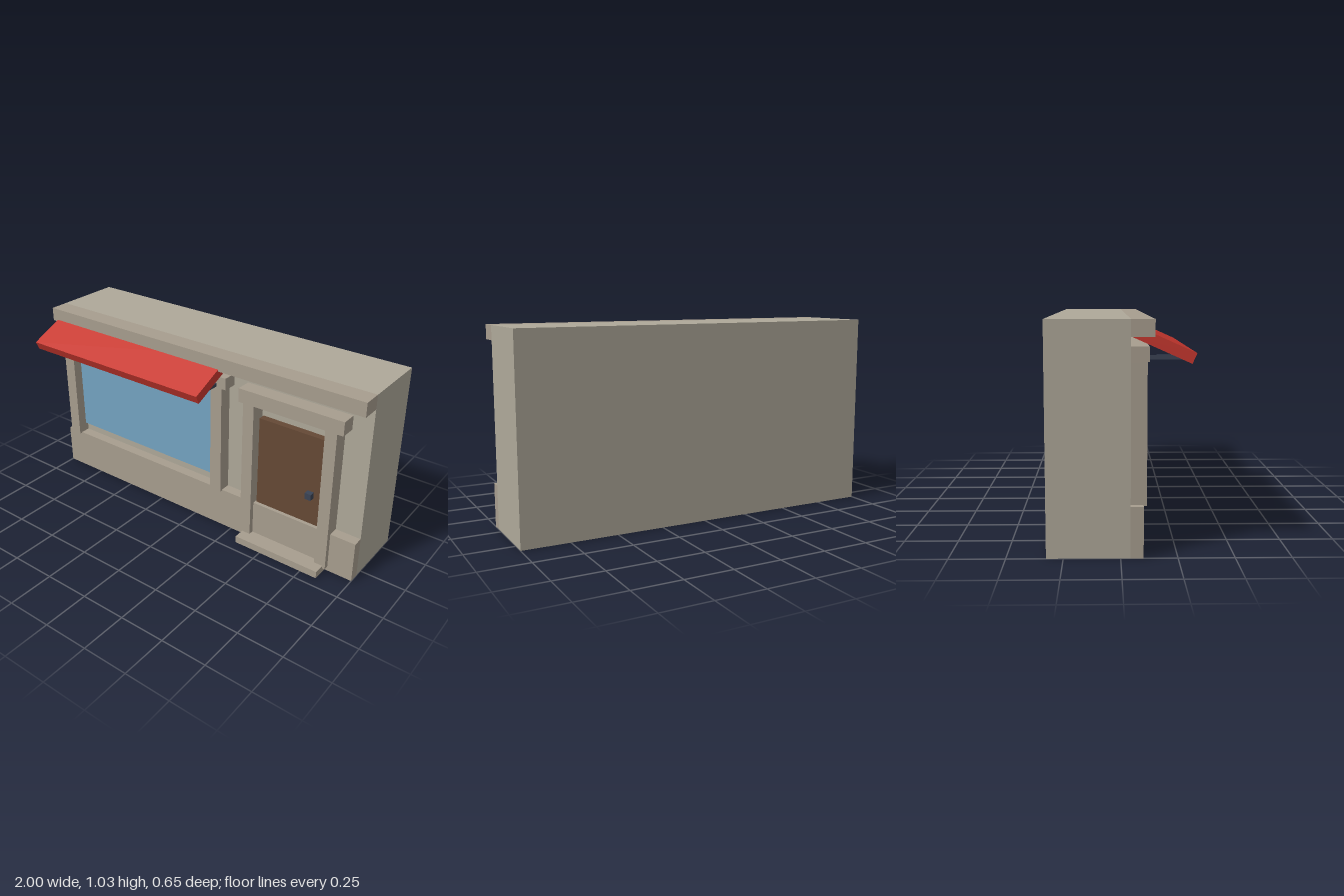
import * as THREE from 'three';

const material = (color) => new THREE.MeshStandardMaterial({ color });

export function createModel() {
  const shop = new THREE.Group();
  shop.name = 'shopfront';

  const wall = material(0xaea899);
  const trim = material(0xa79d8e);
  const red = material(0xc8372e);
  const glass = material(0x74a3c1);
  const wood = material(0x654935);
  const iron = material(0x3a4354);

  // Box given by its limits along each axis
  function block(name, mat, [x0, x1], [y0, y1], [z0, z1]) {
    const mesh = new THREE.Mesh(new THREE.BoxGeometry(x1 - x0, y1 - y0, z1 - z0), mat);
    mesh.position.set((x0 + x1) / 2, (y0 + y1) / 2, (z0 + z1) / 2);
    mesh.name = name;
    shop.add(mesh);
    return mesh;
  }

  const face = 0.043; // front plane of the main wall

  // Building body with projecting base and cornice
  block('building', wall, [-1, 1], [0, 1.035], [-0.325, face]);
  block('plinth', trim, [-1, 1], [0, 0.23], [face, 0.1]);
  block('cornice', trim, [-1, 1], [0.96, 1.035], [face, 0.145]);

  // Shop window
  block('windowPane', glass, [-0.895, 0.115], [0.28, 0.86], [face, 0.06]);
  for (const x of [-0.93, 0.15]) {
    block('windowPilaster', trim, [x - 0.035, x + 0.035], [0.225, 0.857], [face, 0.115]);
    block('awningBracket', iron, [x - 0.01, x + 0.01], [0.862, 0.88], [face, 0.27]);
  }
  block('windowLintel', trim, [-1, 0.215], [0.855, 0.92], [face, 0.122]);

  // Sloping awning, its upper end buried in the cornice
  const awning = block('awning', red, [-0.965, 0.185], [0, 0.05], [0, 0.3]);
  awning.position.set(-0.39, 0.9285, 0.178);
  awning.rotation.x = 0.42;

  // Door with knob, surround and step
  block('door', wood, [0.4, 0.79], [0.1, 0.737], [face, 0.08]);
  block('doorKnob', iron, [0.703, 0.738], [0.388, 0.423], [0.08, 0.11]);
  for (const x of [0.361, 0.828]) {
    block('doorJamb', trim, [x - 0.032, x + 0.032], [0.025, 0.82], [face, 0.128]);
  }
  block('doorLintel', trim, [0.3, 0.893], [0.82, 0.895], [face, 0.128]);
  block('doorStep', trim, [0.345, 0.845], [0, 0.04], [face, 0.19]);

  return shop;
}
